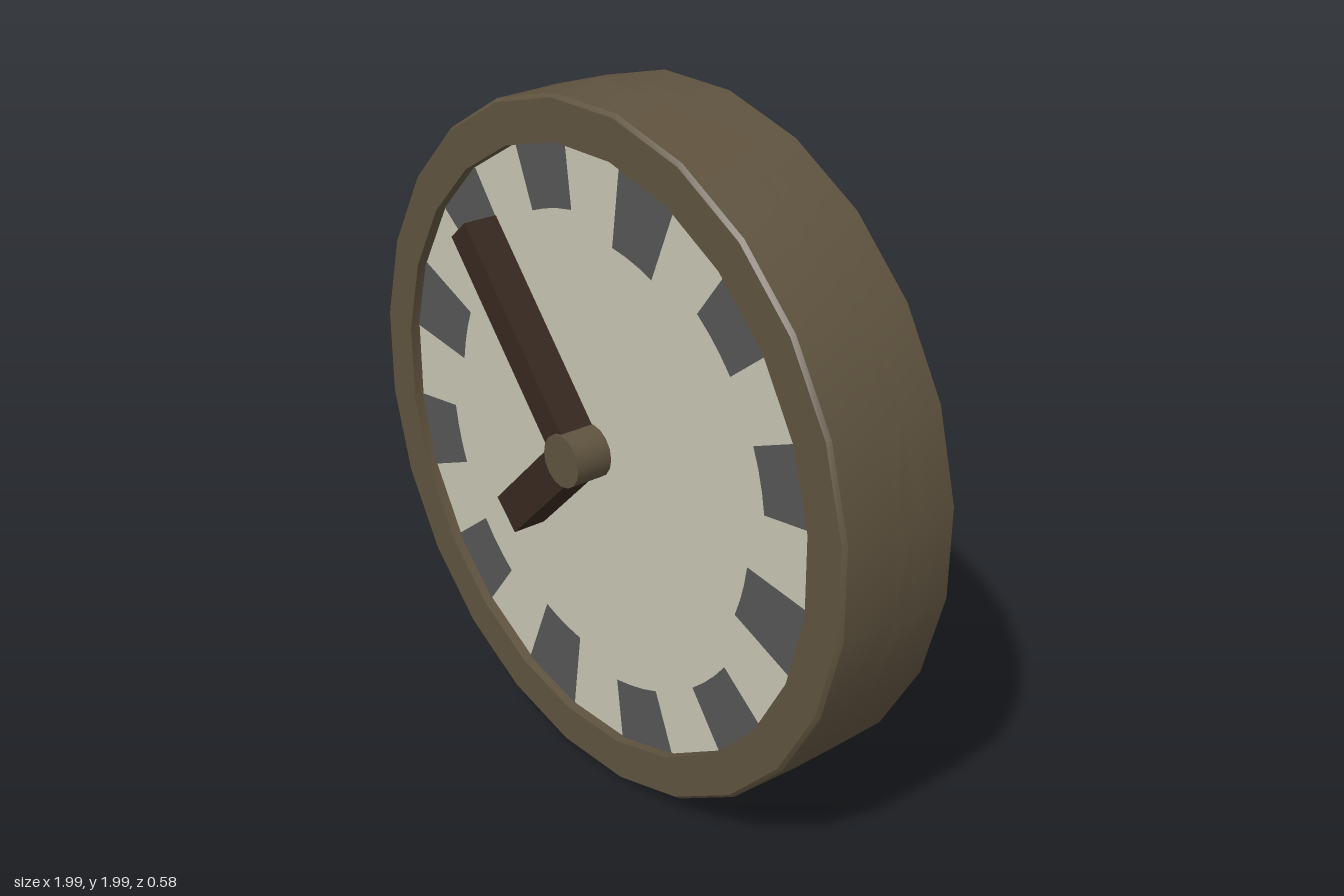
import * as THREE from 'three';
import { toCreasedNormals } from 'three/addons/utils/BufferGeometryUtils.js';

const SIDES = 24;
const STEP = (Math.PI * 2) / SIDES;
const INNER = 0.873;

const paint = (color, side = THREE.FrontSide) => new THREE.MeshStandardMaterial({ color, side });

export function createModel() {
  const clock = new THREE.Group();
  clock.name = 'twoSidedClock';

  const rimMat = paint(0x5f533f);
  const faceMat = paint(0xc6c4b0, THREE.DoubleSide);
  const tickMat = paint(0x555555, THREE.DoubleSide);
  const handMat = paint(0x36281f);

  const add = (name, geometry, material, x = 0, y = 0, z = 0) => {
    const mesh = new THREE.Mesh(geometry, material);
    mesh.name = name;
    mesh.position.set(x, y, z);
    clock.add(mesh);
    return mesh;
  };

  // Casing: two overlapping half shells, [radius, z] profiles turned about z
  const shell = (name, profile, twist) => {
    const points = profile.map(([r, z]) => new THREE.Vector2(r, z));
    const lathe = new THREE.LatheGeometry(points, SIDES, STEP / 2 + twist);
    lathe.rotateX(Math.PI / 2);
    add(name, toCreasedNormals(lathe, 0.5), rimMat);
  };
  shell('frontCasing', [[1.005, -0.03], [1.0, 0.195], [0.99, 0.206], [INNER, 0.206], [INNER, 0.17]], 0.006);
  shell('backCasing', [[INNER, -0.145], [INNER, -0.18], [0.99, -0.18], [1.0, -0.17], [1.005, 0.03]], -0.006);

  // Dials with twelve hour marks on both sides, every third mark longer
  for (const [side, z, out] of [['front', 0.175, 1], ['back', -0.15, -1]]) {
    add(side + 'Dial', new THREE.CircleGeometry(INNER + 0.002, SIDES, STEP / 2), faceMat, 0, 0, z);
    for (let i = 0; i < 12; i++) {
      const inner = i % 3 === 0 ? 0.63 : 0.688;
      const start = STEP * (5 + 2 * i) - STEP / 2;
      add(side + 'HourMark', new THREE.RingGeometry(inner, INNER, 1, 1, start, STEP), tickMat, 0, 0, z + out * 0.003);
    }
  }

  // Hands run through the casing so they show on both sides
  const hub = new THREE.Vector2(-0.01, 0.01);
  const hand = (name, tipX, tipY, width, depth) => {
    const dx = tipX - hub.x, dy = tipY - hub.y;
    const box = new THREE.BoxGeometry(Math.hypot(dx, dy), width, depth);
    const mesh = add(name, box, handMat, hub.x + dx / 2, hub.y + dy / 2, 0.004);
    mesh.rotation.z = Math.atan2(dy, dx);
  };
  hand('minuteHand', -0.475, 0.545, 0.088, 0.554);
  hand('hourHand', -0.292, -0.27, 0.115, 0.55);

  // Hub axle
  const axle = new THREE.CylinderGeometry(0.077, 0.077, 0.578, 16);
  axle.rotateX(Math.PI / 2);
  add('hubAxle', axle, rimMat, hub.x, hub.y, -0.001);

  clock.children.forEach((part) => { part.position.y += 1; });
  return clock;
}
